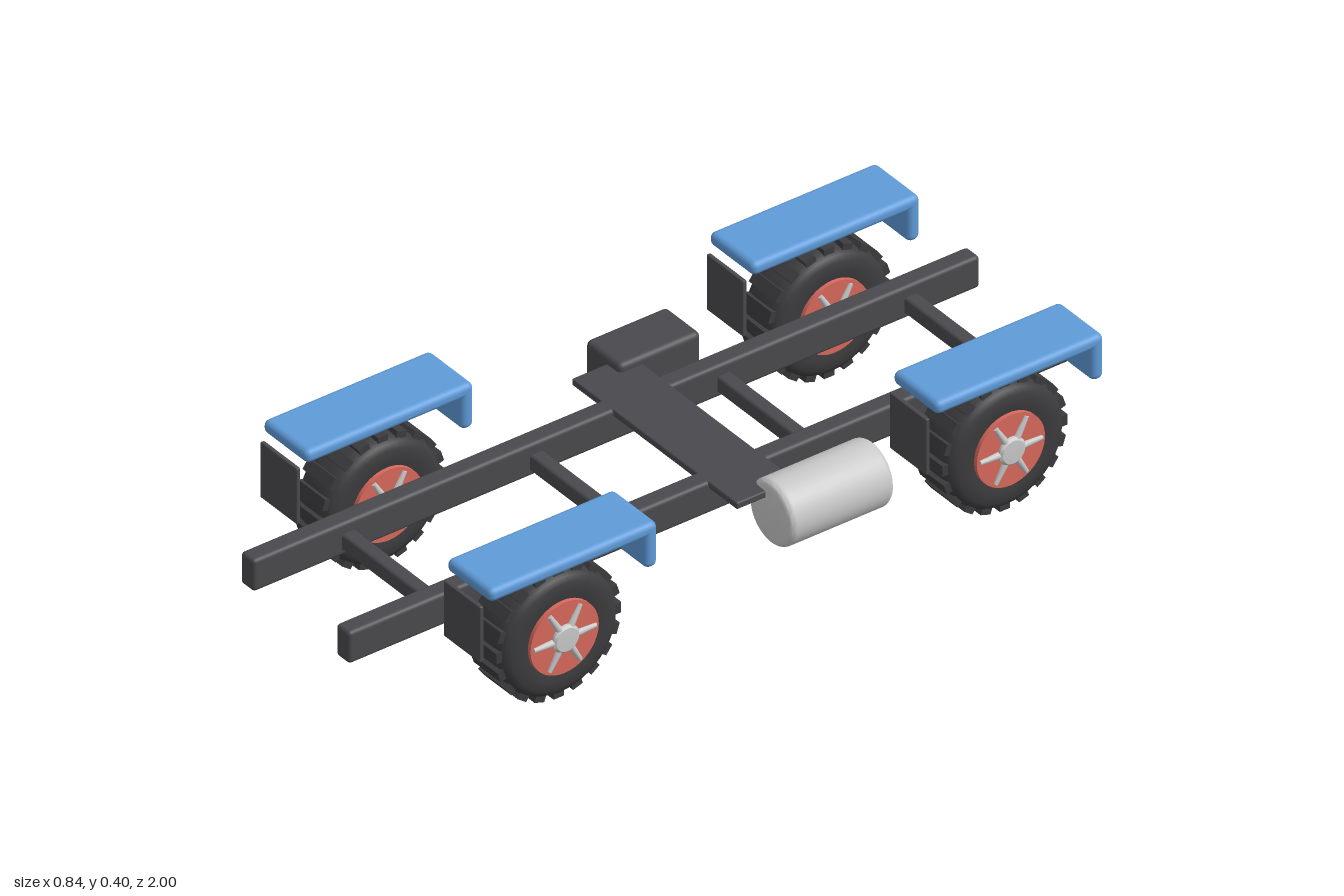
import * as THREE from 'three';
import { RoundedBoxGeometry } from 'three/addons/geometries/RoundedBoxGeometry.js';
import { toCreasedNormals } from 'three/addons/utils/BufferGeometryUtils.js';

const paint = (name, color) => {
  const m = new THREE.MeshStandardMaterial({ color });
  m.name = name;
  return m;
};

export function createModel() {
  const frameGrey = paint('frame grey', 0x4a494d);
  const rubber = paint('rubber', 0x3c3c3e);
  const blue = paint('fender blue', 0x5f9bd9);
  const red = paint('rim red', 0xd9695e);
  const silver = paint('silver', 0xc9c9c9);

  const model = new THREE.Group();
  model.name = 'truckChassis';

  const add = (parent, name, geo, mat, x = 0, y = 0, z = 0) => {
    const mesh = new THREE.Mesh(geo, mat);
    mesh.name = name;
    mesh.position.set(x, y, z);
    parent.add(mesh);
    return mesh;
  };
  const box = (w, h, d, r) => new RoundedBoxGeometry(w, h, d, 3, r);
  // profile points are [radius, position along the axis]
  const lathe = (pts, segments = 40) => toCreasedNormals(
    new THREE.LatheGeometry(pts.map(p => new THREE.Vector2(...p)), segments), 0.6);

  // Ladder frame
  for (const s of [-1, 1]) add(model, 'sideRail', box(0.05, 0.085, 2, 0.01), frameGrey, s * 0.176, 0.217, 0);
  for (const z of [-0.81, -0.295, 0.22, 0.738])
    add(model, 'crossMember', box(0.33, 0.043, 0.038, 0.008), frameGrey, 0, 0.21, z);
  add(model, 'mountingPlate', box(0.61, 0.018, 0.16, 0.004), frameGrey, 0, 0.251, -0.07);

  // Fuel tank on the left, battery box on the right
  const R = 0.082, H = 0.143, c = 0.016;
  const tank = [[0, -H], [R - c, -H]];
  for (let i = 1; i <= 4; i++) {
    const a = i * Math.PI / 8;
    tank.push([R - c + c * Math.sin(a), -H + c - c * Math.cos(a)]);
  }
  const tankProfile = [...tank, ...tank.map(([r, y]) => [r, -y]).reverse()];
  add(model, 'fuelTank', lathe(tankProfile), silver, 0.32, 0.207, -0.212).rotation.x = Math.PI / 2;
  add(model, 'batteryBox', box(0.13, 0.148, 0.225, 0.014), frameGrey, -0.32, 0.207, -0.198);

  // Wheel parts, with the axle along y before turning
  const tireGeo = lathe([
    [0.088, -0.05], [0.094, -0.062], [0.115, -0.066], [0.138, -0.064], [0.152, -0.057], [0.16, -0.045], [0.162, -0.025],
    [0.162, 0.025], [0.16, 0.045], [0.152, 0.057], [0.138, 0.064], [0.115, 0.066], [0.094, 0.062], [0.088, 0.05],
  ], 48);
  const lugGeo = new THREE.BoxGeometry(0.024, 0.1, 0.028);
  const rimGeo = new THREE.CylinderGeometry(0.094, 0.094, 0.144, 40);
  const spokeGeo = new THREE.CylinderGeometry(0.006, 0.01, 0.065, 8);
  const hubGeo = lathe([[0.036, 0], [0.036, 0.012], [0.03, 0.017], [0, 0.018]], 24);

  const makeWheel = () => {
    const wheel = new THREE.Group();
    wheel.name = 'wheel';
    add(wheel, 'tire', tireGeo, rubber);
    // tread lugs
    for (let i = 0; i < 20; i++) {
      const a = i * Math.PI / 10;
      add(wheel, 'treadLug', lugGeo, rubber, Math.cos(a) * 0.16, 0, Math.sin(a) * 0.16).rotation.y = -a;
    }
    add(wheel, 'rim', rimGeo, red);
    // hub and six spokes on both faces
    for (const flip of [0, Math.PI]) {
      const face = new THREE.Group();
      face.name = 'wheelFace';
      face.rotation.x = flip;
      add(face, 'hub', hubGeo, silver, 0, 0.066, 0);
      for (let i = 0; i < 6; i++) {
        const arm = new THREE.Group();
        arm.name = 'spokeArm';
        arm.rotation.y = i * Math.PI / 3 + Math.PI / 2;
        add(arm, 'spoke', spokeGeo, silver, 0.053, 0.072, 0).rotation.z = -Math.PI / 2;
        face.add(arm);
      }
      wheel.add(face);
    }
    wheel.rotation.z = Math.PI / 2;
    return wheel;
  };

  // Wheel, fender and mudflap at each corner
  const fenderTop = box(0.166, 0.035, 0.462, 0.015);
  const fenderTail = box(0.166, 0.118, 0.034, 0.015);
  const flapGeo = box(0.135, 0.148, 0.011, 0.003);
  for (const s of [-1, 1]) {
    for (const z of [0.552, -0.676]) {
      const corner = new THREE.Group();
      corner.name = 'wheelStation';
      corner.position.z = z;
      const wheel = makeWheel();
      wheel.position.set(s * 0.324, 0.172, 0);
      corner.add(wheel);
      add(corner, 'fenderTop', fenderTop, blue, s * 0.339, 0.382, -0.008);
      add(corner, 'fenderTail', fenderTail, blue, s * 0.339, 0.3395, -0.222);
      add(corner, 'mudflap', flapGeo, frameGrey, s * 0.338, 0.281, 0.235);
      model.add(corner);
    }
  }
  return model;
}
